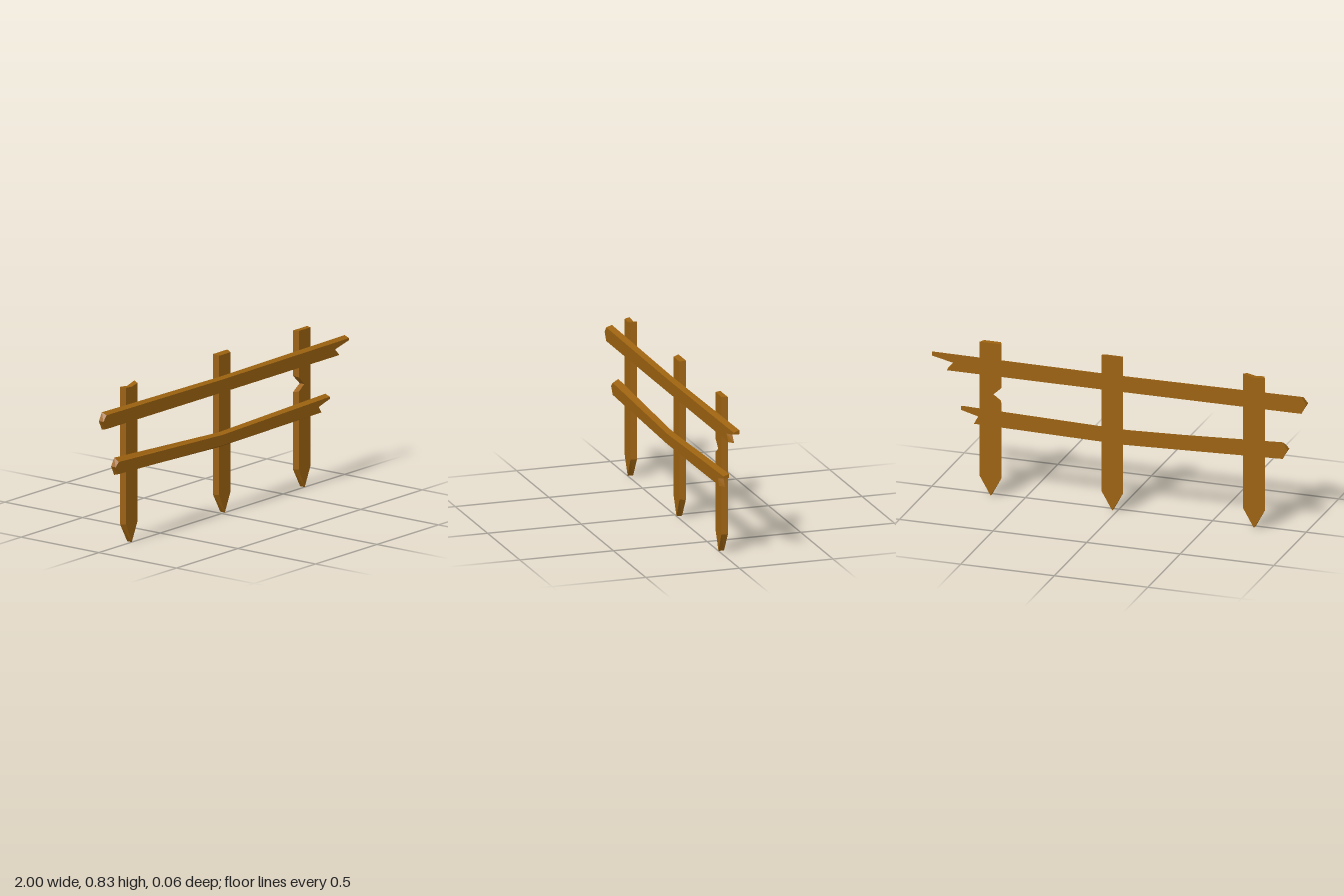
import * as THREE from 'three';

// Bevelled plank: a counter-clockwise outline at the back (z0) joined to a slightly
// smaller one at the front (z1). Each point is [x, y, frontShiftX, frontShiftY].
function plank(name, points, z0, z1, material) {
  const back = points.map(([x, y]) => [x, y, z0]);
  const front = points.map(([x, y, dx = 0, dy = 0]) => [x + dx, y + dy, z1]);
  const outline = points.map(([x, y]) => new THREE.Vector2(x, y));
  const pos = [];
  const tri = (a, b, c) => pos.push(...a, ...b, ...c);
  for (const [a, b, c] of THREE.ShapeUtils.triangulateShape(outline, [])) {
    tri(front[a], front[b], front[c]);
    tri(back[c], back[b], back[a]);
  }
  points.forEach((_, i) => {
    const j = (i + 1) % points.length;
    tri(back[i], back[j], front[j]);
    tri(back[i], front[j], front[i]);
  });
  const geometry = new THREE.BufferGeometry();
  geometry.setAttribute('position', new THREE.Float32BufferAttribute(pos, 3));
  geometry.computeVertexNormals();
  const mesh = new THREE.Mesh(geometry, material);
  mesh.name = name;
  return mesh;
}

export function createModel() {
  const group = new THREE.Group();
  group.name = 'brokenFence';
  const wood = new THREE.MeshStandardMaterial({ color: 0x9c6210, flatShading: true });
  wood.name = 'brownWood';

  // Pointed posts, wider at the back; top and notch points are relative to the centre
  const half = 0.058, bevel = 0.012;
  const post = (name, x, top, notch = []) => {
    const points = [[-half, 0.1, bevel], [0, 0], [half, 0.1, -bevel], ...top, ...notch]
      .map(([px, ...rest]) => [px + x, ...rest]);
    group.add(plank(name, points, -0.03, 0, wood));
  };
  post('rightPost', -0.731, [[half, 0.827, -bevel, -0.006], [0, 0.811], [-half, 0.817, bevel, -0.003]]);
  post('middlePost', 0.026, [[half, 0.834, -bevel, -0.007], [-half, 0.834, bevel, -0.007]]);
  post('leftPost', 0.676, [[half, 0.824, -bevel], [-half, 0.824, bevel]],
    [[-half, 0.588, bevel, -0.008], [-0.004, 0.538], [-half, 0.502, bevel, 0.006]]);

  // Rails with a blunt point at one end and a splintered break at the other
  group.add(plank('upperRail', [
    [-1, 0.686], [-0.975, 0.636, 0, 0.008], [-0.03, 0.635, 0, 0.008], [0.92, 0.636, 0, 0.008],
    [0.885, 0.68], [1, 0.706], [1, 0.727, 0, -0.011], [-0.03, 0.717, 0, -0.007], [-0.975, 0.727, 0, -0.011],
  ], 0, 0.03, wood));
  group.add(plank('lowerRail', [
    [-0.9, 0.429], [-0.875, 0.38, 0, 0.009], [-0.03, 0.351, 0, 0.016], [0.775, 0.365, 0, 0.009],
    [0.752, 0.407], [0.843, 0.431], [0.843, 0.453, 0, -0.011], [-0.03, 0.429, 0, -0.008], [-0.875, 0.47, 0, -0.018],
  ], 0, 0.03, wood));

  return group;
}
